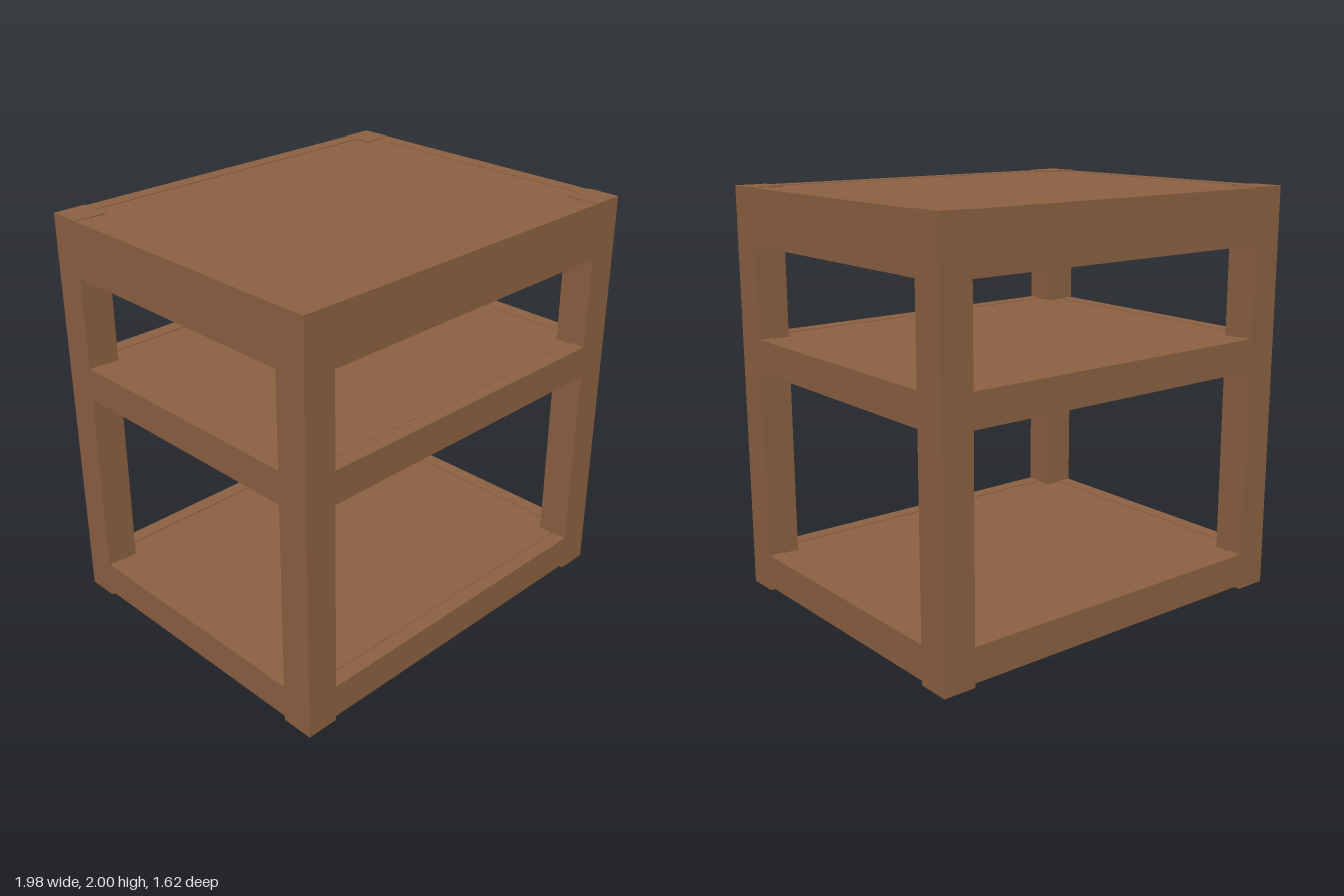
import * as THREE from 'three';

export function createModel() {
  const group = new THREE.Group();
  const wood = new THREE.MeshStandardMaterial({ color: 0x8b6041 });
  wood.name = 'brown wood';
  const rubber = new THREE.MeshStandardMaterial({ color: 0x3a3a3a });
  rubber.name = 'dark grey feet';
  const steel = new THREE.MeshStandardMaterial({ color: 0x777b80 });
  steel.name = 'grey steel';

  const add = (name, geometry, material, x, y, z) => {
    const mesh = new THREE.Mesh(geometry, material);
    mesh.name = name;
    mesh.position.set(x, y, z);
    group.add(mesh);
    return mesh;
  };

  const X = 0.992, Z = 0.81;          // outer half sizes
  const LEG = 0.16, RAIL = 0.075;     // leg width, rail thickness
  const legX = X - LEG / 2, legZ = Z - LEG / 2;
  const corners = [[1, 1], [1, -1], [-1, 1], [-1, -1]];

  // Corner posts with round glides underneath
  const legGeo = new THREE.BoxGeometry(LEG, 1.988, LEG);
  const footGeo = new THREE.CylinderGeometry(0.055, 0.055, 0.02, 20);
  for (const [sx, sz] of corners) {
    add('leg', legGeo, wood, sx * legX, 1.006, sz * legZ);
    add('foot', footGeo, rubber, sx * legX, 0.01, sz * legZ);
  }

  // Shelf board with corners notched around the legs
  const px = X - RAIL - 0.006, pz = Z - RAIL - 0.008;
  const nx = X - LEG - 0.006, nz = Z - LEG - 0.006;
  const outline = new THREE.Shape([
    [nx, -pz], [nx, -nz], [px, -nz], [px, nz], [nx, nz], [nx, pz],
    [-nx, pz], [-nx, nz], [-px, nz], [-px, -nz], [-nx, -nz], [-nx, -pz],
  ].map(([x, z]) => new THREE.Vector2(x, z)));
  const THICK = 0.07;
  const boardGeo = new THREE.ExtrudeGeometry(outline, { depth: THICK, bevelEnabled: false });
  boardGeo.rotateX(-Math.PI / 2);

  // Three tiers: rails between the legs, a board flush with their tops, bolts below
  const boltGeo = new THREE.CylinderGeometry(0.015, 0.015, 0.03, 10).rotateX(Math.PI / 2);
  const tiers = [['bottom', 0.03, 0.194], ['middle', 1.125, 1.284], ['top', 1.73, 1.997]];
  for (const [name, low, high] of tiers) {
    const h = high - low, y = (low + high) / 2;
    const longRail = new THREE.BoxGeometry(2 * (X - LEG), h, RAIL);
    const sideRail = new THREE.BoxGeometry(RAIL, h, 2 * (Z - LEG));
    for (const s of [1, -1]) {
      add(name + (s > 0 ? 'FrontRail' : 'BackRail'), longRail, wood, 0, y, s * (Z - RAIL / 2 - 0.003));
      add(name + (s > 0 ? 'LeftRail' : 'RightRail'), sideRail, wood, s * (X - RAIL / 2 - 0.003), y, 0);
    }
    add(name + 'Shelf', boardGeo, wood, 0, high - THICK - 0.002, 0);
    for (const [sx, sz] of corners) {
      const bolt = add(name + 'Bolt', boltGeo, steel, sx * (X - LEG), low + 0.05, sz * (Z - LEG));
      bolt.rotation.y = Math.atan2(sx, sz);
    }
  }
  return group;
}
